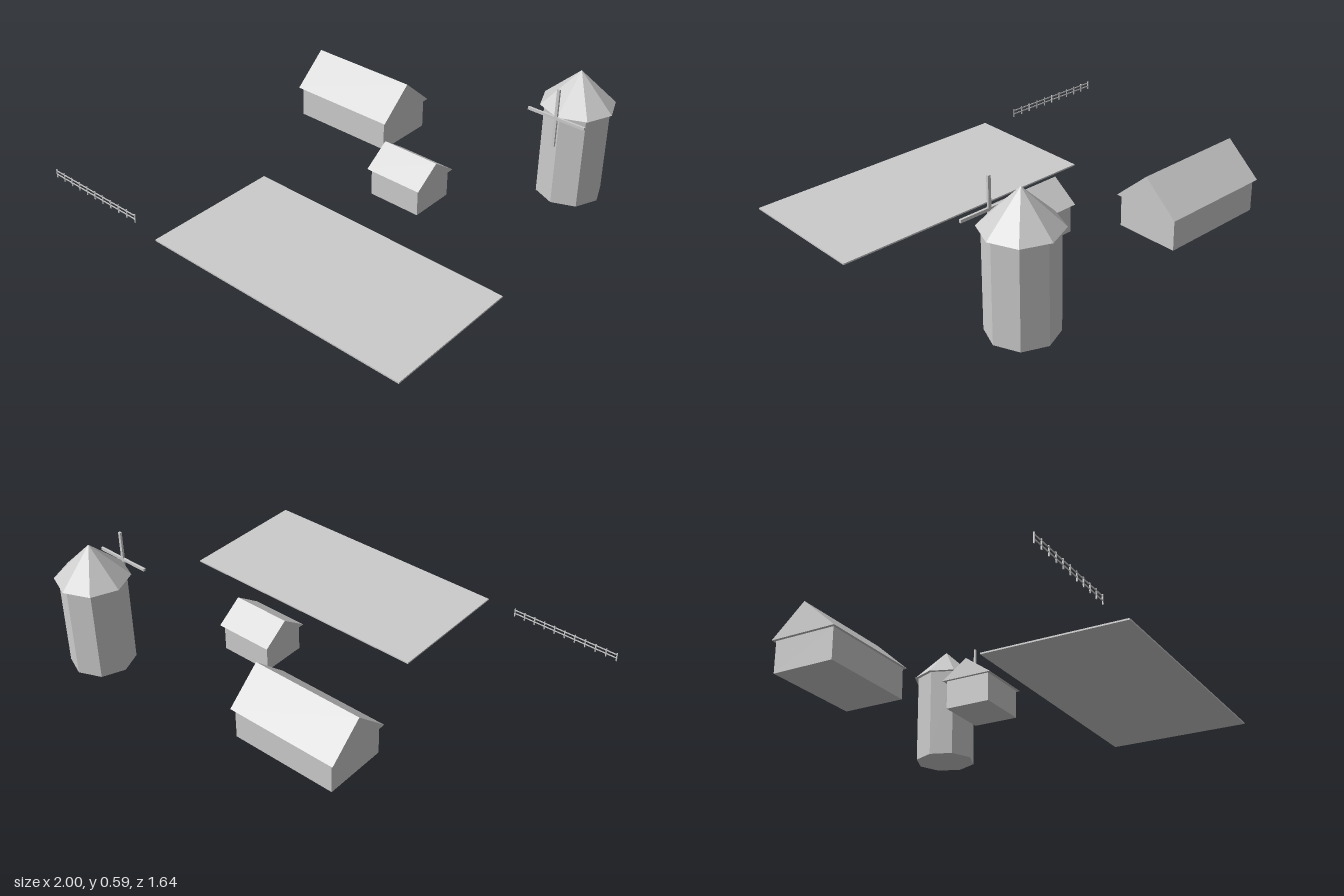
import * as THREE from 'three';

const grey = new THREE.MeshStandardMaterial({ color: 0xcccccc, flatShading: true });

function part(parent, name, geometry, x, y, z) {
  const mesh = new THREE.Mesh(geometry, grey);
  mesh.name = name;
  mesh.position.set(x, y, z);
  parent.add(mesh);
  return mesh;
}

function group(parent, name, x, z) {
  const g = new THREE.Group();
  g.name = name;
  g.position.set(x, 0, z);
  parent.add(g);
  return g;
}

// Closed triangular prism, ridge along x, base at y = 0
function gableGeometry(length, depth, height) {
  const shape = new THREE.Shape();
  shape.moveTo(-depth / 2, 0);
  shape.lineTo(depth / 2, 0);
  shape.lineTo(0, height);
  shape.closePath();
  const geometry = new THREE.ExtrudeGeometry(shape, { depth: length, bevelEnabled: false });
  geometry.translate(0, 0, -length / 2);
  geometry.rotateY(Math.PI / 2);
  return geometry;
}

// Box walls under an overhanging gable roof
function house(parent, name, x, z, wall, roof) {
  const g = group(parent, name, x, z);
  part(g, 'walls', new THREE.BoxGeometry(wall.w, wall.h, wall.d), 0, wall.h / 2, 0);
  part(g, 'gableRoof', gableGeometry(roof.w, roof.d, roof.h), 0, wall.h, 0);
}

export function createModel() {
  const model = new THREE.Group();
  model.name = 'farm';

  house(model, 'barn', -0.299, -0.515, { w: 0.508, h: 0.147, d: 0.296 }, { w: 0.537, d: 0.322, h: 0.144 });
  house(model, 'shed', 0.277, -0.153, { w: 0.254, h: 0.13, d: 0.212 }, { w: 0.28, d: 0.242, h: 0.087 });

  // Eight-sided mill tower with a cone cap and crossed sails
  const mill = group(model, 'windmill', 0.78, -0.656);
  part(mill, 'tower', new THREE.CylinderGeometry(0.145, 0.145, 0.435, 8), 0, 0.2175, 0);
  part(mill, 'cap', new THREE.ConeGeometry(0.164, 0.159, 8), 0, 0.514, 0);
  for (const [name, angle] of [['verticalSail', 0], ['horizontalSail', Math.PI / 2]]) {
    part(mill, name, new THREE.BoxGeometry(0.013, 0.273, 0.01), 0, 0.436, 0.173).rotation.z = angle;
  }

  // Flat field
  part(model, 'field', new THREE.BoxGeometry(1.298, 0.007, 0.645), 0.351, 0.0035, 0.495);

  // Fence: evenly spaced posts and two rails
  const fence = group(model, 'fence', -0.731, 0.785);
  const length = 0.538, posts = 11;
  for (let i = 0; i < posts; i++) {
    const x = (i / (posts - 1) - 0.5) * (length - 0.005);
    part(fence, 'post', new THREE.BoxGeometry(0.005, 0.042, 0.005), x, 0.021, 0);
  }
  for (const y of [0.016, 0.034]) {
    part(fence, 'rail', new THREE.BoxGeometry(length, 0.005, 0.003), 0, y, 0);
  }

  return model;
}
